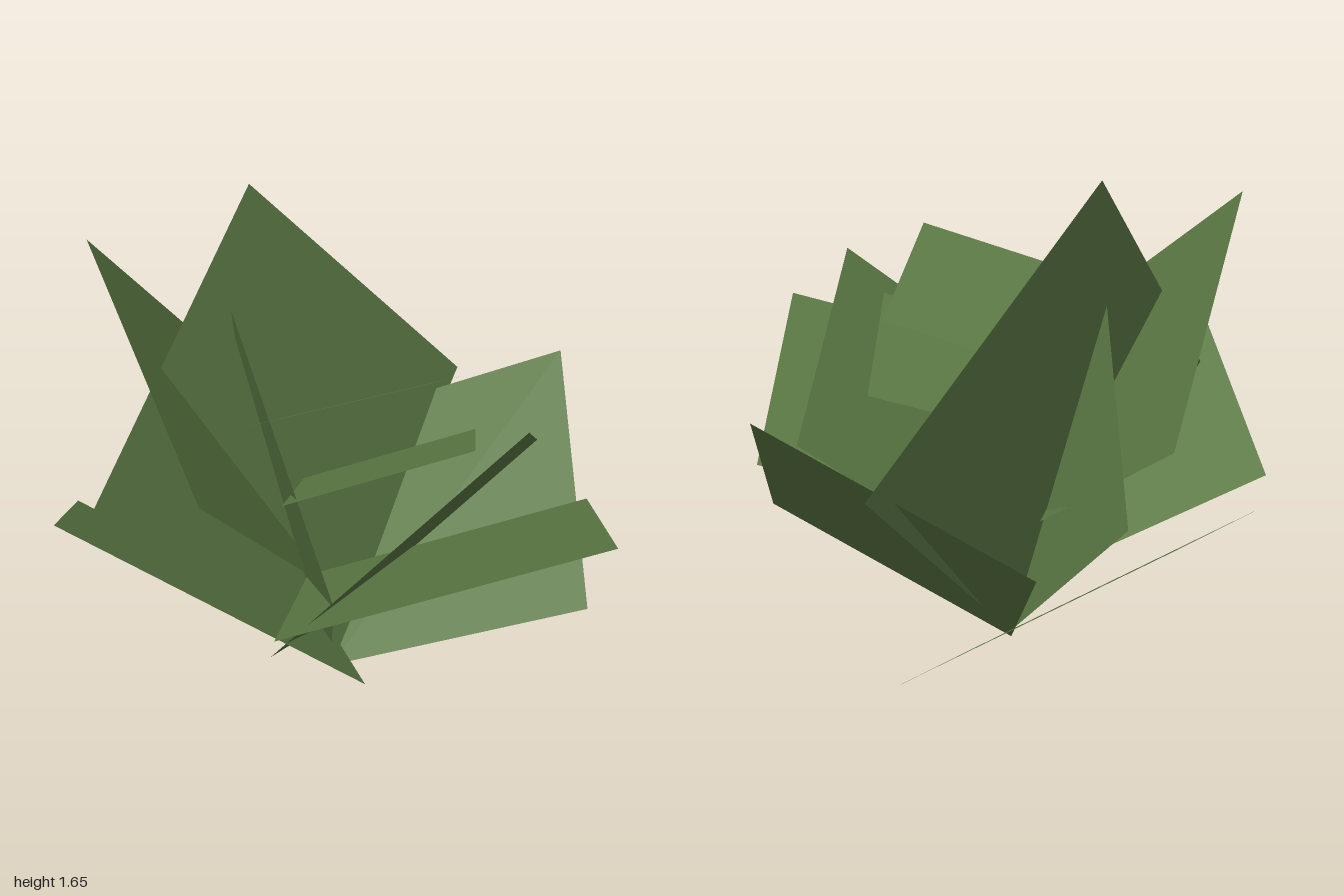
import * as THREE from 'three';

// Flat parallelogram leaf: root corner plus its two side corners
function leafGeometry(root, sideA, sideB) {
  const p = new THREE.Vector3(...root);
  const a = new THREE.Vector3(...sideA).sub(p);
  const b = new THREE.Vector3(...sideB).sub(p);
  const normal = a.clone().cross(b).normalize();
  const geometry = new THREE.PlaneGeometry(1, 1).translate(0.5, 0.5, 0);
  return geometry.applyMatrix4(new THREE.Matrix4().makeBasis(a, b, normal).setPosition(p));
}

export function createModel() {
  const group = new THREE.Group();
  group.name = 'leafyPlant';
  const leafGreen = new THREE.MeshStandardMaterial({ color: 0x5c7a45, side: THREE.DoubleSide });
  leafGreen.name = 'leaf green';

  // name, root corner, side corner, other side corner
  const leaves = [
    // upright leaves
    ['tallLeaf', [0, 0.01, 0.02], [0.49, 0.86, -0.63], [-0.74, 0.8, 0.48]],
    ['innerUprightLeaf', [0, 0.01, 0.02], [-0.28, 0.7, -0.58], [-0.03, 0.65, 0.75]],
    ['rightUprightLeaf', [-0.06, 0.38, 0.07], [-0.4, 0.96, -0.61], [-0.4, 0.96, 0.74]],
    // outer spreading leaves
    ['backLeaf', [0, 0.02, 0.01], [0.43, 0.34, -0.78], [-0.77, 0.54, -0.2]],
    ['leftLeaf', [0, 0, 0], [0.8, 0.39, 0.34], [0.01, 0.62, -0.71]],
    ['frontRightLeaf', [0, 0.16, 0.04], [-0.84, 0.61, -0.08], [0.05, 0.5, 0.93]],
    ['frontLeftLeaf', [-0.02, 0.19, 0.04], [0.69, 0.8, -0.08], [-0.21, 0.57, 0.89]],
    ['frontUpperLeaf', [-0.08, 0.38, 0.05], [0.83, 0.66, 0.09], [-0.2, 0.66, 0.96]],
    // small crown leaves
    ['lowerCrownLeaf', [-0.09, 0.73, 0.04], [0.46, 0.9, 0.06], [-0.17, 0.89, 0.59]],
    ['upperCrownLeaf', [-0.14, 0.95, 0.05], [0.4, 1.12, 0.16], [-0.31, 1.12, 0.57]],
  ];

  for (const [name, root, sideA, sideB] of leaves) {
    const mesh = new THREE.Mesh(leafGeometry(root, sideA, sideB), leafGreen);
    mesh.name = name;
    group.add(mesh);
  }
  return group;
}
